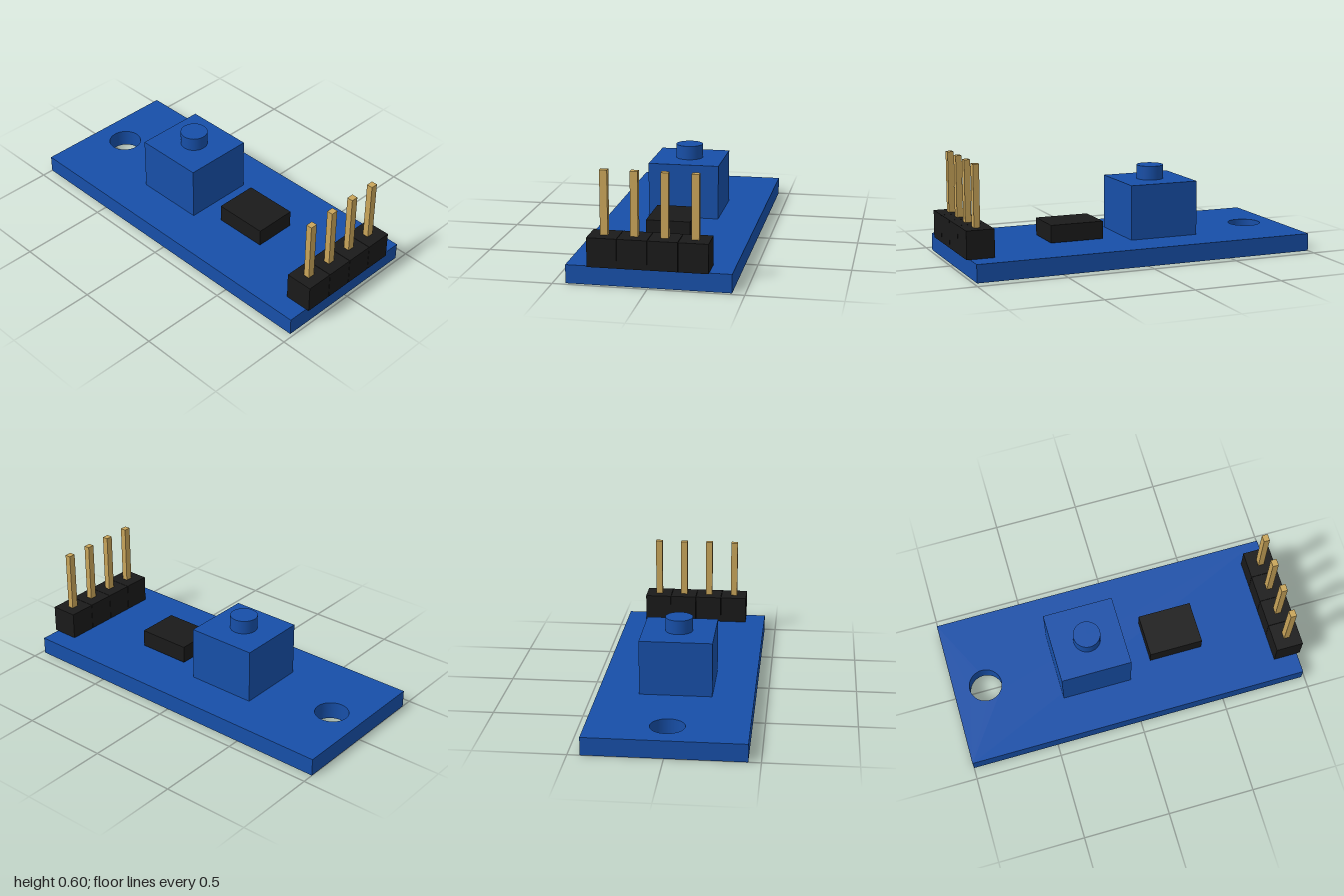
import * as THREE from 'three';

export function createModel() {
  const model = new THREE.Group();
  model.name = 'sensorBoard';

  const material = (name, color) => {
    const m = new THREE.MeshStandardMaterial({ color });
    m.name = name;
    return m;
  };
  const blue = material('blue', 0x174fa8);
  const black = material('black', 0x1a1a1a);
  const gold = material('gold', 0xc9a55a);

  const add = (name, geometry, mat, x, y, z, parent = model) => {
    const mesh = new THREE.Mesh(geometry, mat);
    mesh.name = name;
    mesh.position.set(x, y, z);
    parent.add(mesh);
    return mesh;
  };
  // box given by its bottom height
  const addBox = (name, w, h, d, mat, x, bottom, z, parent) =>
    add(name, new THREE.BoxGeometry(w, h, d), mat, x, bottom + h / 2, z, parent);

  // circuit board with a round mounting hole
  const boardTop = 0.1;
  const outline = new THREE.Shape();
  outline.moveTo(-1, -0.433).lineTo(0.982, -0.433).lineTo(0.982, 0.433).lineTo(-1, 0.433).closePath();
  const hole = new THREE.Path();
  hole.absarc(-0.814, 0, 0.094, 0, Math.PI * 2, true);
  outline.holes.push(hole);
  const boardGeometry = new THREE.ExtrudeGeometry(outline, {
    depth: boardTop, bevelEnabled: false, curveSegments: 48,
  });
  boardGeometry.rotateX(-Math.PI / 2);
  add('board', boardGeometry, blue, 0, 0, 0);

  // trimmer block with its round knob
  addBox('trimmerBlock', 0.404, 0.31, 0.404, blue, -0.196, boardTop, 0);
  add('trimmerKnob', new THREE.CylinderGeometry(0.077, 0.077, 0.079, 32), blue, -0.196, 0.4495, 0);

  // chip
  addBox('chip', 0.31, 0.1, 0.244, black, 0.301, 0.106, 0);

  // pin header: four housings with fine seams between them, each with one pin
  const header = new THREE.Group();
  header.name = 'pinHeader';
  model.add(header);
  for (let i = 0; i < 4; i++) {
    const z = (1.5 - i) * 0.158;
    addBox('pinHousing', 0.156, 0.156, 0.156, black, 0.922, boardTop, z, header);
    addBox('pin', 0.034, 0.498, 0.04, gold, 0.922, boardTop, z, header);
  }

  return model;
}
